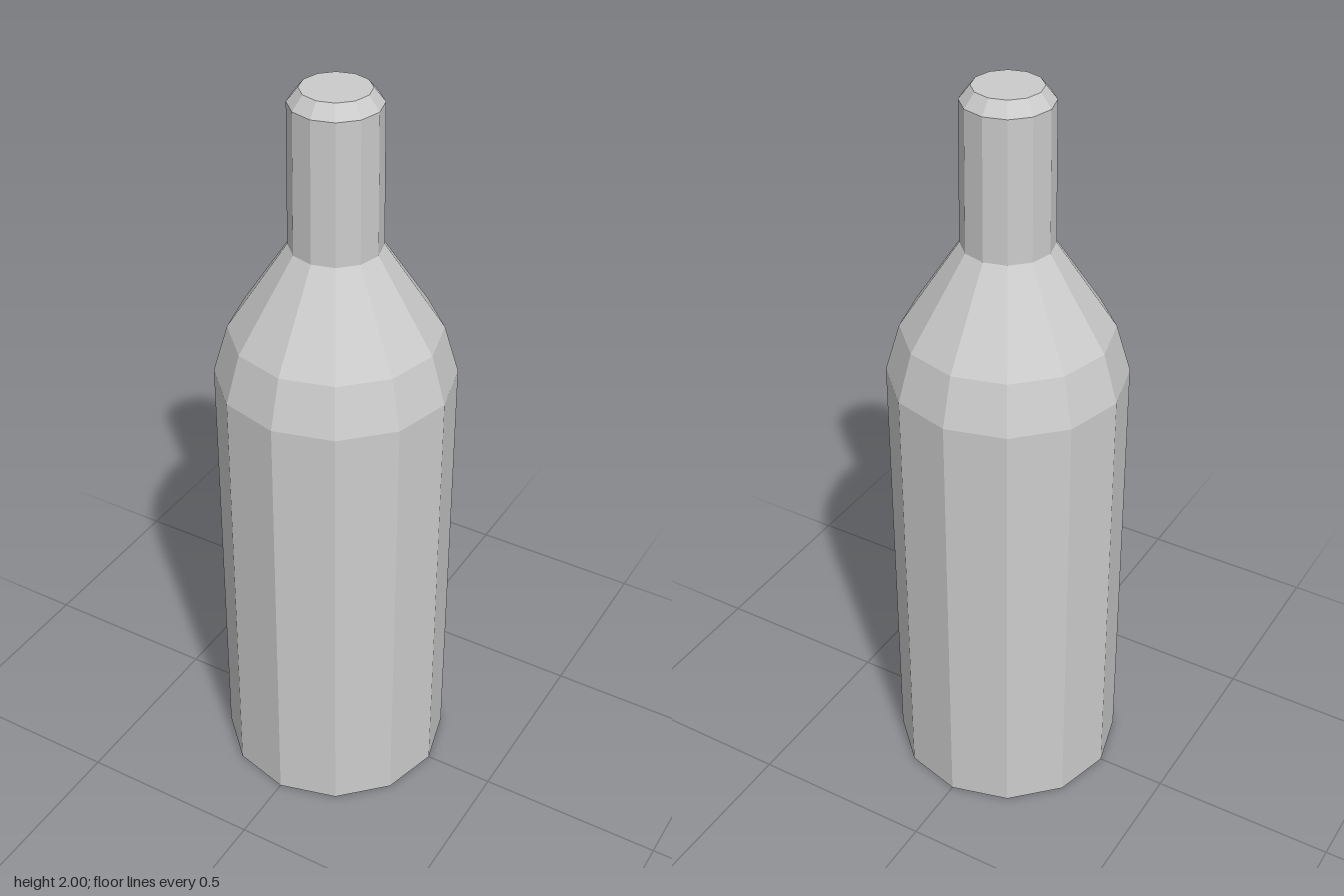
import * as THREE from 'three';

const SIDES = 12;

export function createModel() {
  const bottle = new THREE.Group();
  bottle.name = 'bottle';
  const glass = new THREE.MeshStandardMaterial({ color: 0xcccccc, flatShading: true });

  // Turns a [radius, height] profile, listed from bottom to top, into a faceted part
  const turn = (name, profile) => {
    const points = profile.map(([r, y]) => new THREE.Vector2(r, y));
    const mesh = new THREE.Mesh(new THREE.LatheGeometry(points, SIDES), glass);
    mesh.name = name;
    bottle.add(mesh);
  };

  // Flat base and straight wall
  turn('body', [[0, 0], [0.31, 0], [0.31, 1.23]]);
  // Two-step shoulder narrowing to the neck
  turn('shoulder', [[0.31, 1.23], [0.272, 1.36], [0.118, 1.595]]);
  // Slightly tapered neck
  turn('neck', [[0.118, 1.595], [0.115, 1.965]]);
  // Bevelled rim with a closed top
  turn('rim', [[0.115, 1.965], [0.087, 2], [0, 2]]);

  return bottle;
}
